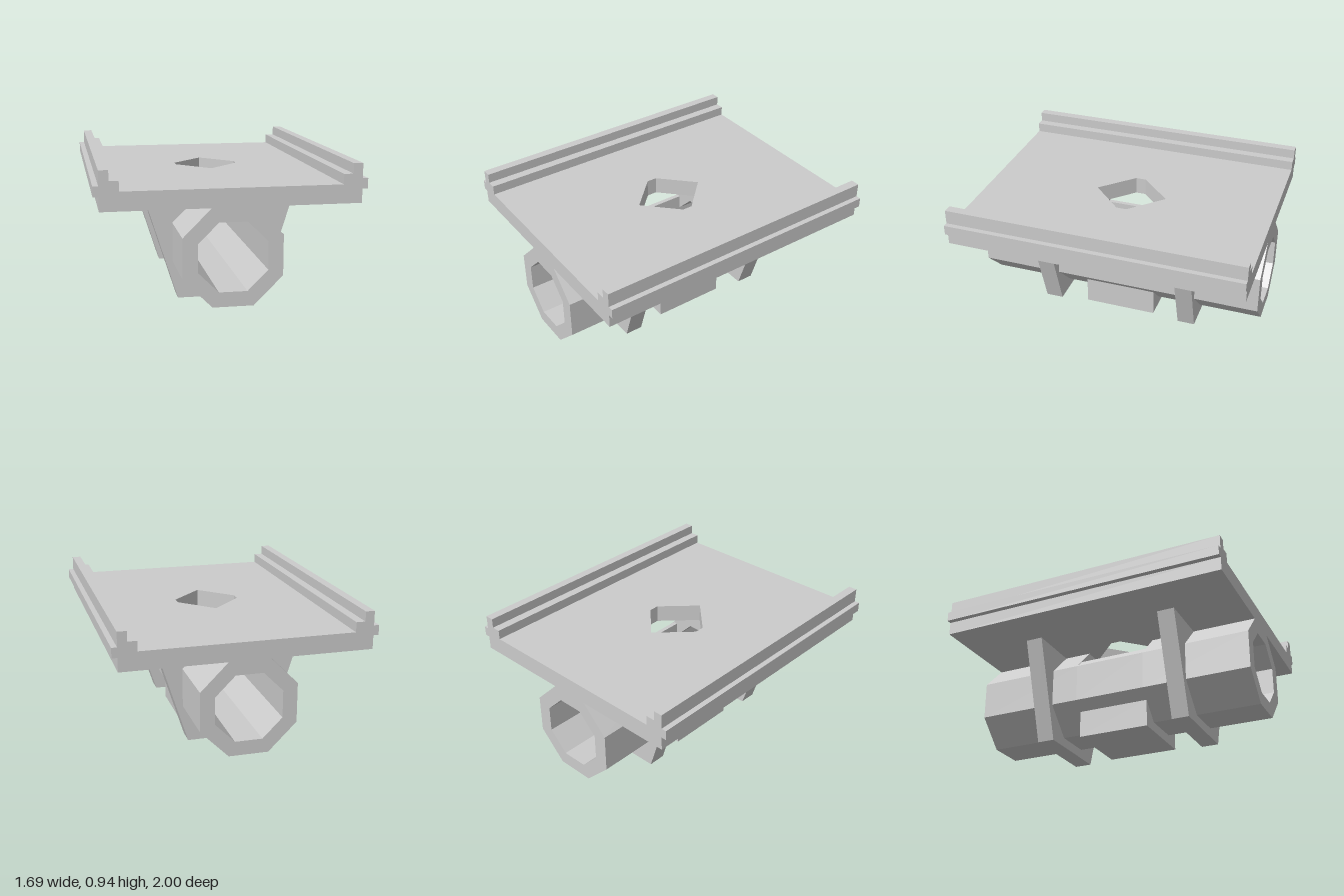
import * as THREE from 'three';

const material = new THREE.MeshStandardMaterial({ color: 0xcccccc, flatShading: true });
const toPoints = (list) => list.map(([x, y]) => new THREE.Vector2(x, y));
const mirrorX = (list) => list.map(([x, y]) => [-x, y]).reverse();

// Octagon with flat sides, given its half width and half length of a flat
const CENTER = 0.38;
function octagon(r, h) {
  return [[h, -r], [r, -h], [r, h], [h, r], [-h, r], [-r, h], [-r, -h], [-h, -r]]
    .map(([x, y]) => [x, y + CENTER]);
}

// Prism along z from z0 to z1
function prism(outline, z0, z1, hole) {
  const shape = new THREE.Shape(toPoints(outline));
  if (hole) shape.holes.push(new THREE.Path(toPoints(hole)));
  const geometry = new THREE.ExtrudeGeometry(shape, { depth: z1 - z0, bevelEnabled: false });
  return geometry.translate(0, 0, z0);
}

export function createModel() {
  const group = new THREE.Group();
  const add = (name, geometry) => {
    const mesh = new THREE.Mesh(geometry, material);
    mesh.name = name;
    group.add(mesh);
  };

  // Deck plate with a clipped diamond opening
  const deck = [[-0.69, -1], [0.69, -1], [0.69, 1], [-0.69, 1]];
  const opening = [[0, -0.25], [0.215, -0.035], [0.215, 0.035], [0, 0.25], [-0.215, 0.035], [-0.215, -0.035]];
  add('deck', prism(deck, 0.69, 0.81, opening).rotateX(-Math.PI / 2));

  // Stepped side rails with an outer lip
  const rail = [
    [0.69, 0.69], [0.81, 0.69], [0.81, 0.78], [0.845, 0.78], [0.845, 0.845], [0.81, 0.845],
    [0.81, 0.94], [0.75, 0.94], [0.75, 0.875], [0.69, 0.875],
  ];
  add('leftRail', prism(rail, -1, 1));
  add('rightRail', prism(mirrorX(rail), -1, 1));

  // Octagonal tube, whole at both ends
  const outer = octagon(0.315, 0.13);
  const bore = octagon(0.22, 0.09);
  add('frontTube', prism(outer, 0.25, 1, bore));
  add('backTube', prism(outer, -1, -0.25, bore));

  // Middle of the tube, open at the top below the deck
  const half = [[0.13, 0.065], [0.315, 0.25], [0.315, 0.51], [0.25, 0.57], [0.22, 0.57], [0.22, 0.29], [0.09, 0.16]];
  add('openTube', prism([...half, ...mirrorX(half)], -0.25, 0.25));

  // Foot block fitted to the underside of the tube
  const foot = [[0.25, 0], [0.25, 0.185], [0.13, 0.065]];
  add('footBlock', prism([...foot, ...mirrorX(foot)], -0.25, 0.25));

  // Tapered brackets around the tube
  const bracket = [[-0.28, 0], [0.28, 0], [0.5, 0.69], [-0.5, 0.69]];
  const seat = octagon(0.27, 0.11);
  add('frontBracket', prism(bracket, 0.44, 0.56, seat));
  add('backBracket', prism(bracket, -0.56, -0.44, seat));

  return group;
}
